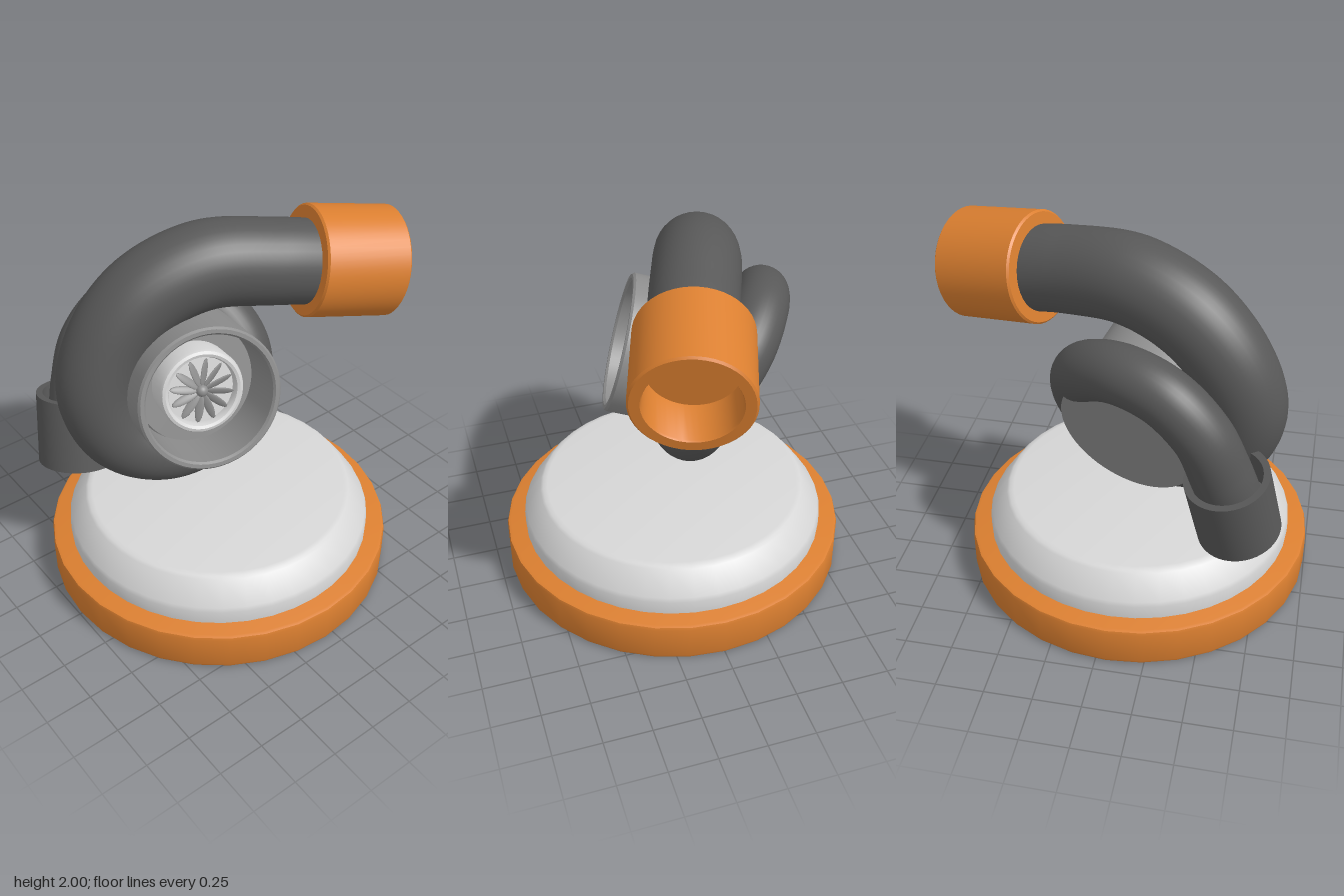
import * as THREE from 'three';
import { toCreasedNormals } from 'three/addons/utils/BufferGeometryUtils.js';

const material = (name, color) => {
  const m = new THREE.MeshStandardMaterial({ color });
  m.name = name;
  return m;
};

export function createModel() {
  const orange = material('orange', 0xdb7f30);
  const darkGrey = material('darkGrey', 0x585858);
  const midGrey = material('midGrey', 0x8e8e8e);
  const paleGrey = material('paleGrey', 0xd6d6d6);

  const model = new THREE.Group();
  model.name = 'turbocharger';

  const add = (parent, name, geometry, mat) => {
    const mesh = new THREE.Mesh(geometry, mat);
    mesh.name = name;
    parent.add(mesh);
    return mesh;
  };

  // Turned part from [radius, height] pairs, with crisp edges
  const turned = (profile, sides = 48) => toCreasedNormals(
    new THREE.LatheGeometry(profile.map(([r, y]) => new THREE.Vector2(r, y)), sides), 0.5);

  // Group whose own y axis points along a direction
  const aimed = (name, position, direction) => {
    const g = new THREE.Group();
    g.name = name;
    g.position.set(...position);
    g.quaternion.setFromUnitVectors(
      new THREE.Vector3(0, 1, 0), new THREE.Vector3(...direction).normalize());
    model.add(g);
    return g;
  };

  // Display stand
  const stand = new THREE.Group();
  stand.name = 'stand';
  stand.position.x = -0.055;
  model.add(stand);
  add(stand, 'standBase', turned([
    [0, 0], [0.92, 0], [0.935, 0.006], [0.94, 0.02],
    [0.94, 0.2], [0.935, 0.215], [0.92, 0.22], [0, 0.22],
  ], 32), orange);
  add(stand, 'standPlinth', turned([
    [0.835, 0.21], [0.835, 0.295], [0.825, 0.318],
    [0.74, 0.435], [0.725, 0.446], [0.7, 0.45], [0, 0.45],
  ], 40), paleGrey);

  // Coiled pipe: x, y, z, radius
  const path = [
    [0.55, 1.68, 0.08, 0.22], [0.3, 1.735, 0, 0.222], [-0.05, 1.775, -0.13, 0.225],
    [-0.34, 1.67, -0.22, 0.22], [-0.54, 1.46, -0.26, 0.212], [-0.635, 1.2, -0.25, 0.205],
    [-0.575, 0.95, -0.2, 0.195], [-0.41, 0.8, -0.14, 0.185], [-0.2, 0.75, -0.09, 0.175],
    [0.06, 0.84, -0.07, 0.165], [0.195, 1.02, -0.1, 0.158], [0.225, 1.18, -0.17, 0.155],
    [0.15, 1.36, -0.33, 0.153], [-0.05, 1.46, -0.48, 0.15], [-0.28, 1.42, -0.575, 0.148],
    [-0.46, 1.25, -0.605, 0.148], [-0.55, 1.03, -0.575, 0.155], [-0.61, 0.83, -0.53, 0.158],
  ];
  const curve = new THREE.CatmullRomCurve3(path.map(([x, y, z]) => new THREE.Vector3(x, y, z)));
  const rings = 160, sides = 36;
  const pipe = new THREE.TubeGeometry(curve, rings, 1, sides);
  const pos = pipe.attributes.position;
  const v = new THREE.Vector3();
  for (let i = 0; i <= rings; i++) {
    const centre = curve.getPointAt(i / rings);
    const t = curve.getUtoTmapping(i / rings) * (path.length - 1);
    const k = Math.min(Math.floor(t), path.length - 2);
    const radius = THREE.MathUtils.lerp(path[k][3], path[k + 1][3], t - k);
    for (let j = 0; j <= sides; j++) {
      const n = i * (sides + 1) + j;
      v.fromBufferAttribute(pos, n).sub(centre).multiplyScalar(radius).add(centre);
      pos.setXYZ(n, v.x, v.y, v.z);
    }
  }
  add(model, 'coiledPipe', pipe, darkGrey);

  // Large socket on the pipe mouth
  const socket = aimed('mouthSocket', [0.46, 1.705, 0.05], [0.44, -0.085, 0.15]);
  add(socket, 'socketSleeve', turned([
    [0, 0], [0.28, 0], [0.29, 0.01], [0.29, 0.46], [0.28, 0.47],
    [0.23, 0.47], [0.225, 0.46], [0.225, 0.24], [0, 0.24],
  ]), orange);

  // Small cup on the other pipe end
  const cup = aimed('outletCup', [-0.655, 0.615, -0.48], [0.07, 0.37, -0.08]);
  add(cup, 'cupSleeve', turned([
    [0, 0], [0.215, 0], [0.215, 0.39], [0.18, 0.39], [0.175, 0.2], [0, 0.2],
  ]), darkGrey);

  // Core housing, open at the front; the origin is the centre of the front rim
  const core = aimed('core', [-0.272, 1.262, 0.235], [-0.27, 0.255, 0.93]);
  add(core, 'housing', turned([
    [0, -0.73], [0.375, -0.73], [0.375, -0.012], [0.365, 0],
    [0.345, 0], [0.335, -0.012], [0.325, -0.28], [0, -0.28],
  ], 56), midGrey);

  // Wheel with its ring
  add(core, 'wheelRing', turned([
    [0.22, -0.29], [0.222, -0.14], [0.215, -0.122], [0.2, -0.116],
    [0.185, -0.122], [0.178, -0.14], [0.178, -0.17], [0, -0.17],
  ]), paleGrey);
  const wheel = new THREE.Group();
  wheel.name = 'wheel';
  wheel.position.y = -0.142;
  core.add(wheel);
  add(wheel, 'hub', new THREE.SphereGeometry(0.032, 20, 14), midGrey);
  const blade = new THREE.SphereGeometry(0.5, 14, 10)
    .scale(0.155, 0.014, 0.046).rotateX(0.5).translate(0.095, 0, 0);
  for (let i = 0; i < 12; i++) {
    add(wheel, 'blade', blade, midGrey).rotation.y = i * Math.PI / 6;
  }

  return model;
}
